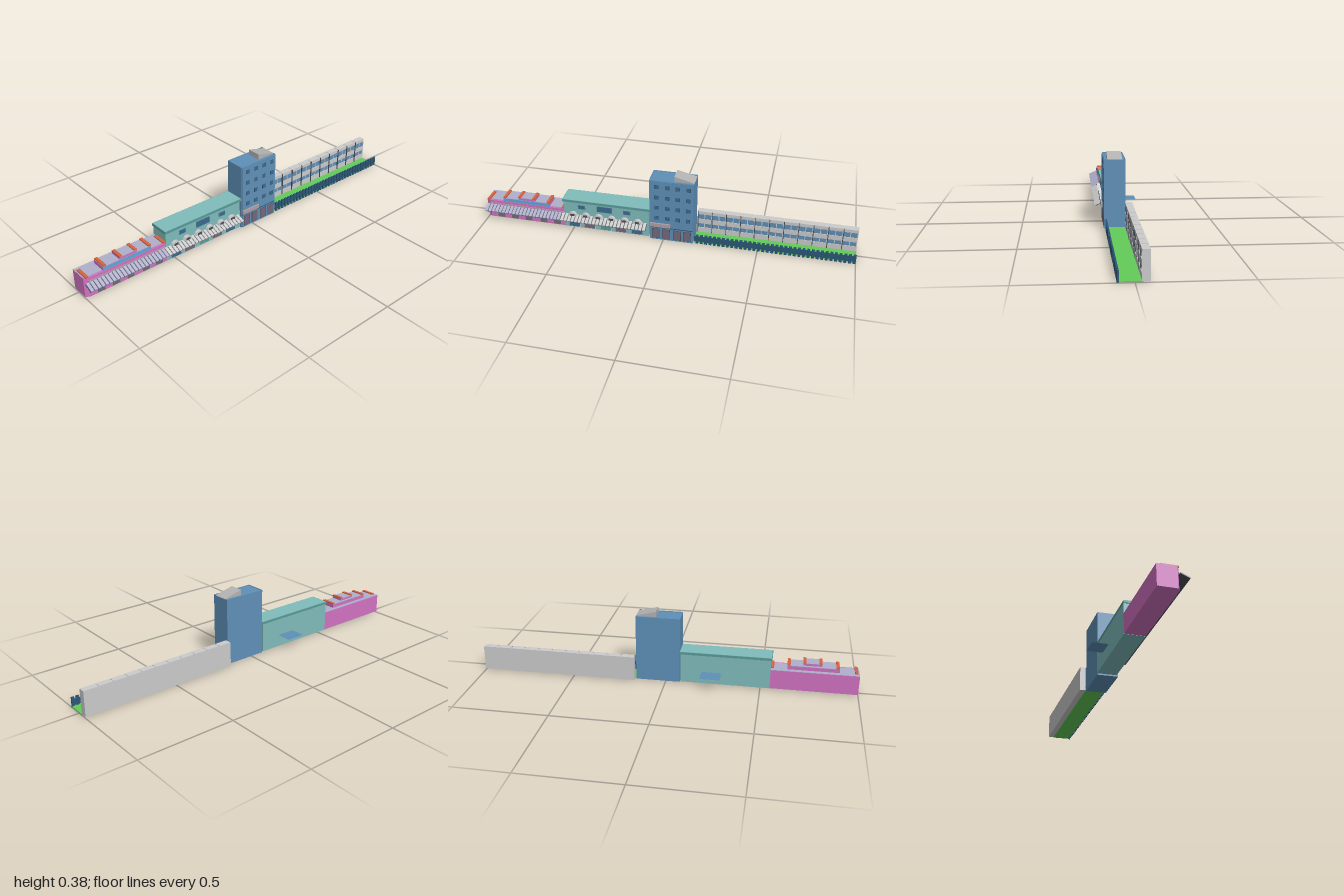
import * as THREE from 'three';

const C = {
  pink: 0xd272c2, lavender: 0xb0b0cc, orange: 0xd8623c, sky: 0x62a8d8, teal: 0x80bcbc, tealDark: 0x5a9c9a,
  tower: 0x5f90b8, glass: 0x3c6a8e, deep: 0x2c5878, green: 0x62cc58, stone: 0xd8d8d4, grey: 0xb4b4b4,
  door: 0x74687c, dark: 0x4a4e56, rose: 0xb0a0a8,
};
const mats = {};
function mat(key) {
  return mats[key] ??= new THREE.MeshStandardMaterial({ color: C[key], flatShading: true, side: THREE.DoubleSide });
}

function add(parent, name, geo, key) {
  const m = new THREE.Mesh(geo, mat(key));
  m.name = name;
  parent.add(m);
  return m;
}

// box given by its limits on each axis
function box(parent, name, x0, x1, y0, y1, z0, z1, key) {
  const m = add(parent, name, new THREE.BoxGeometry(x1 - x0, y1 - y0, z1 - z0), key);
  m.position.set((x0 + x1) / 2, (y0 + y1) / 2, (z0 + z1) / 2);
  return m;
}

function group(parent, name) {
  const g = new THREE.Group();
  g.name = name;
  parent.add(g);
  return g;
}

// thin framed panel set on a facade facing +x
function opening(parent, name, x, y0, y1, z, w, key, frame) {
  box(parent, name + 'Frame', x - 0.003, x + 0.001, y0 - 0.002, y1 + 0.002, z - w / 2 - 0.003, z + w / 2 + 0.003, frame);
  box(parent, name, x - 0.003, x + 0.002, y0, y1, z - w / 2, z + w / 2, key);
}

function pinkBlock(root) {
  const g = group(root, 'pinkBlock');
  // plan with a chamfered street corner, extruded upward
  const plan = new THREE.Shape([[-0.035, -1], [0.057, -1], [0.068, -0.98], [0.068, -0.55], [-0.035, -0.55]]
    .map(p => new THREE.Vector2(...p)));
  const geo = new THREE.ExtrudeGeometry(plan, { depth: 0.104, bevelEnabled: false });
  geo.rotateX(-Math.PI / 2);
  add(g, 'hall', geo, 'pink').position.y = 0.008;
  box(g, 'roof', -0.034, 0.057, 0.112, 0.114, 0.55, 0.999, 'lavender');
  // stepped roof tiers
  box(g, 'lowerTier', -0.012, 0.067, 0.113, 0.133, 0.635, 0.9, 'pink');
  box(g, 'lowerTierFront', 0.064, 0.068, 0.114, 0.132, 0.637, 0.898, 'sky');
  box(g, 'lowerTierRoof', -0.012, 0.067, 0.133, 0.135, 0.635, 0.9, 'lavender');
  box(g, 'upperTier', 0.002, 0.067, 0.135, 0.146, 0.715, 0.81, 'pink');
  box(g, 'upperTierRoof', 0.002, 0.067, 0.146, 0.148, 0.715, 0.81, 'lavender');
  // orange ridge bars along the tier edges
  for (const [z, y, x] of [[0.558, 0.114, -0.012], [0.642, 0.135, -0.012], [0.722, 0.147, 0.002],
    [0.803, 0.147, 0.002], [0.89, 0.135, -0.012], [0.985, 0.114, -0.012]]) {
    box(g, 'ridgeBar', x, 0.067, y, y + 0.006, z - 0.008, z + 0.008, 'orange');
  }
  // cornice and shop fronts
  box(g, 'cornice', 0.066, 0.071, 0.092, 0.098, 0.55, 0.98, 'rose');
  for (const z of [0.595, 0.672, 0.76, 0.84, 0.92]) opening(g, 'shopDoor', 0.069, 0.012, 0.056, z, 0.04, 'door', 'rose');
}

function tealBlock(root) {
  const g = group(root, 'tealBlock');
  box(g, 'hall', -0.035, 0.068, 0.007, 0.166, 0.08, 0.55, 'teal');
  box(g, 'roofCap', -0.036, 0.074, 0.165, 0.178, 0.073, 0.556, 'tealDark');
  box(g, 'roofTop', -0.034, 0.072, 0.178, 0.179, 0.076, 0.553, 'teal');
  // upper windows
  for (const [z, w, y0, y1] of [[0.45, 0.035, 0.127, 0.148], [0.323, 0.08, 0.123, 0.155], [0.2, 0.035, 0.127, 0.148]]) {
    opening(g, 'upperWindow', 0.069, y0, y1, z, w, 'glass', 'tealDark');
  }
  // ground floor windows and doors
  [0.495, 0.41, 0.32, 0.235, 0.145].forEach((z, i) =>
    opening(g, i % 2 ? 'door' : 'lowerWindow', 0.069, 0.012, 0.062, z, 0.06, i % 2 ? 'door' : i === 2 ? 'tealDark' : 'glass', 'stone'));
  // row of half-round dormers above the canopy
  for (let i = 0; i < 6; i++) {
    const geo = new THREE.CylinderGeometry(0.023, 0.023, 0.016, 10, 1, false, 0, Math.PI);
    geo.rotateZ(Math.PI / 2);
    const m = add(g, 'dormer', geo, 'stone');
    geo.computeBoundingBox();
    // turn the half so that its dome points up
    if (Math.abs(geo.boundingBox.max.y) < 0.001) geo.rotateX(Math.PI);
    else if (geo.boundingBox.max.z - geo.boundingBox.min.z < 0.03) geo.rotateX(geo.boundingBox.max.z > 0.01 ? -Math.PI / 2 : Math.PI / 2);
    m.position.set(0.076, 0.085, 0.14 + i * 0.072);
    box(g, 'dormerPane', 0.083, 0.085, 0.086, 0.098, 0.128 + i * 0.072, 0.152 + i * 0.072, 'dark');
  }
  // flat sheet canopy over the rear entrance
  const sheet = add(g, 'rearCanopy', new THREE.PlaneGeometry(0.083, 0.105).rotateX(-Math.PI / 2), 'tower');
  sheet.position.set(-0.0765, 0.072, 0.243);
}

// sloping street canopy made of slats on a thin dark sheet
function streetCanopy(root) {
  const g = group(root, 'streetCanopy');
  g.position.set(0.092, 0.077, 0);
  g.rotation.z = -0.4;
  box(g, 'sheet', -0.025, 0.023, -0.005, -0.002, 0.09, 0.998, 'dark');
  const n = 46, step = 0.908 / n;
  for (let i = 0; i < n; i++) {
    const z = 0.09 + i * step;
    box(g, 'slat', -0.025, 0.024, -0.003, 0.004, z + 0.002, z + step - 0.003, z < 0.55 ? 'stone' : 'lavender');
  }
}

function tower(root) {
  const g = group(root, 'tower');
  box(g, 'body', -0.032, 0.074, 0.002, 0.357, -0.16, 0.074, 'tower');
  box(g, 'facade', 0.072, 0.078, 0.003, 0.357, -0.158, 0.07, 'tower');
  // low parapet
  for (const [x0, x1, z0, z1] of [[-0.032, -0.029, -0.16, 0.074], [0.071, 0.076, -0.16, 0.074],
    [-0.032, 0.075, 0.071, 0.074], [-0.032, 0.075, -0.16, -0.157]]) {
    box(g, 'parapet', x0, x1, 0.355, 0.36, z0, z1, 'tower');
  }
  // wedge-shaped roof housing, highest toward the front
  const side = new THREE.Shape([[0.055, 0.357], [0.16, 0.357], [0.16, 0.36], [0.055, 0.386]].map(p => new THREE.Vector2(...p)));
  const wedge = new THREE.ExtrudeGeometry(side, { depth: 0.075, bevelEnabled: false });
  wedge.rotateY(Math.PI / 2);
  add(g, 'roofHousing', wedge, 'grey').position.x = -0.015;
  // windows
  for (const y of [0.325, 0.262, 0.2, 0.138]) {
    for (const z of [0.035, -0.022, -0.078, -0.133]) {
      opening(g, 'window', 0.078, y - 0.009, y + 0.009, z, 0.017, 'glass', 'deep');
    }
  }
  // entrance storey
  box(g, 'entranceHood', 0.074, 0.086, 0.084, 0.106, -0.04, 0.07, 'rose');
  box(g, 'storeyBand', 0.074, 0.08, 0.077, 0.081, -0.158, 0.07, 'deep');
  for (const z of [0.04, -0.015, -0.075, -0.128]) opening(g, 'entranceBay', 0.078, 0.012, 0.068, z, 0.036, 'door', 'dark');
}

function terrace(root) {
  const g = group(root, 'terraceRow');
  box(g, 'wall', -0.064, -0.034, 0.008, 0.138, -1, -0.165, 'stone');
  const n = 11, step = 0.835 / n;
  for (let i = 0; i < n; i++) {
    const z0 = -1 + i * step, z1 = z0 + step;
    // solid bands with window strips between them
    for (const [y0, y1] of [[0.01, 0.04], [0.065, 0.092], [0.122, 0.14]]) {
      box(g, 'band', -0.036, -0.029, y0, y1, z0 + 0.004, z1 - 0.004, 'stone');
    }
    for (const [y0, y1] of [[0.04, 0.065], [0.092, 0.122]]) {
      box(g, 'windowStrip', -0.036, -0.032, y0, y1, z0 + 0.004, z1 - 0.004, 'tower');
      box(g, 'mullion', -0.034, -0.03, y0, y1, z0 + step / 2 - 0.002, z0 + step / 2 + 0.002, 'stone');
    }
    box(g, 'roofCap', -0.064, -0.029, 0.137, 0.14, z0 + 0.004, z1 - 0.002, 'stone');
    box(g, 'divider', -0.037, -0.028, 0.01, 0.138, z1 - 0.004, z1, 'dark');
  }
  box(g, 'endWall', -0.064, -0.029, 0.008, 0.14, -1, -0.996, 'stone');
}

function garden(root) {
  const g = group(root, 'garden');
  box(g, 'lawn', -0.034, 0.068, 0.005, 0.009, -1, -0.16, 'green');
  // picket fence along the street
  const n = 36, step = 0.835 / n;
  for (let i = 0; i < n; i++) {
    const z = -1 + i * step;
    box(g, 'picket', 0.064, 0.072, 0.002, 0.055, z, z + step * 0.62, 'deep');
  }
  box(g, 'fenceRail', 0.064, 0.067, 0.012, 0.044, -1, -0.165, 'deep');
}

export function createModel() {
  const root = new THREE.Group();
  root.name = 'streetTerrace';
  [pinkBlock, tealBlock, streetCanopy, tower, terrace, garden].forEach(build => build(root));
  // center the plan and rest the base on the ground
  const b = new THREE.Box3().setFromObject(root);
  root.position.set(-(b.min.x + b.max.x) / 2, -b.min.y, -(b.min.z + b.max.z) / 2);
  return root;
}
